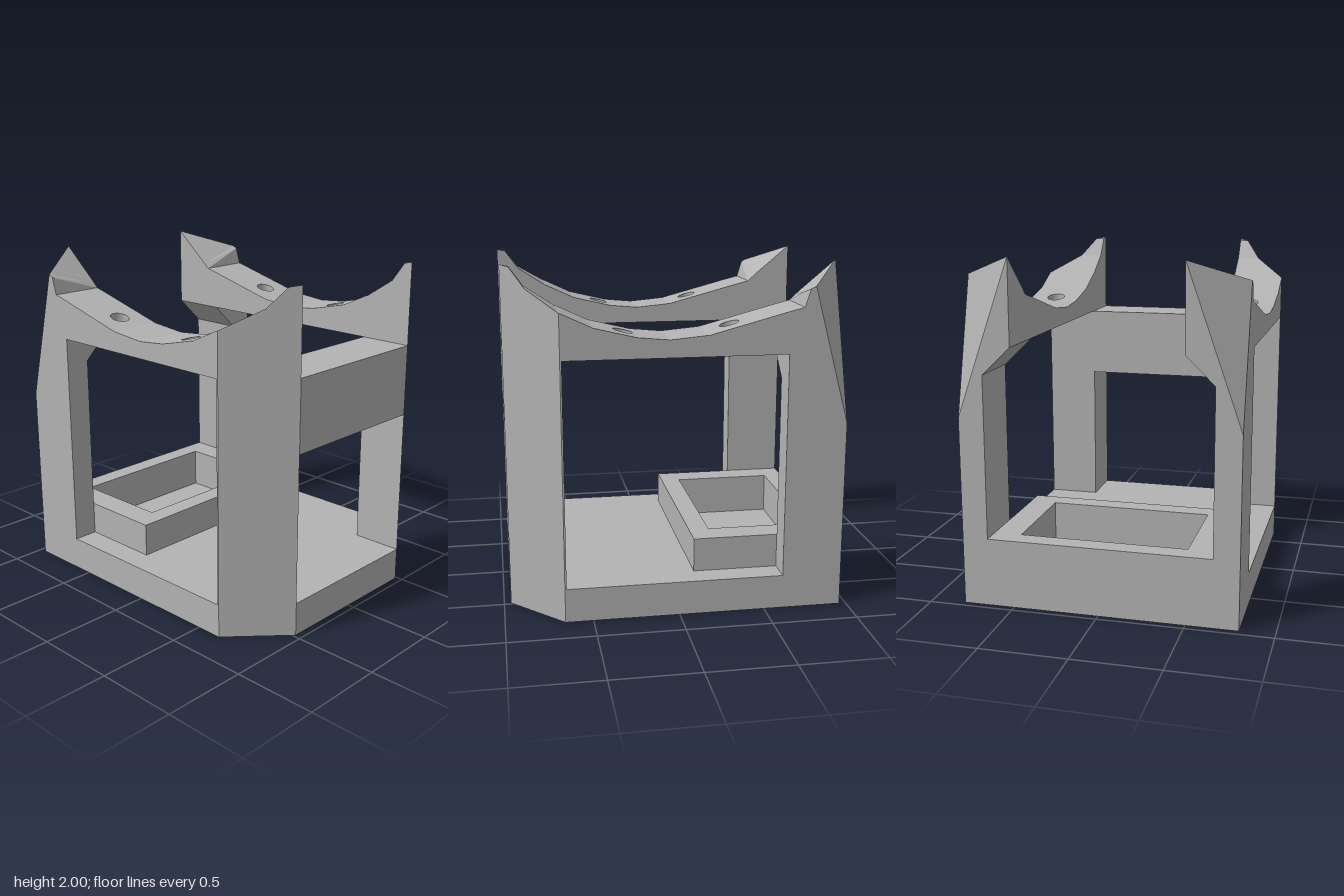
import * as THREE from 'three';

const XI = 0.485, XO = 0.8, RAIL_Y = 1.51;
const grey = new THREE.MeshStandardMaterial({ color: 0xb3b3b3 });
grey.name = 'plain grey';

// Plate lying flat: plan outline and holes given as [x, z], from y0 to y1
function plate(outline, holes, y0, y1) {
  const points = (list) => list.map(([x, z]) => new THREE.Vector2(x, -z));
  const shape = new THREE.Shape(points(outline));
  for (const h of holes) shape.holes.push(new THREE.Path(points(h)));
  const g = new THREE.ExtrudeGeometry(shape, { depth: y1 - y0, bevelEnabled: false });
  return g.rotateX(-Math.PI / 2).translate(0, y0, 0);
}

const rect = (x0, x1, z0, z1) => [[x0, z0], [x0, z1], [x1, z1], [x1, z0]];

function circle(cx, cz, r, n) {
  return Array.from({ length: n }, (_, i) => {
    const a = (i / n) * Math.PI * 2;
    return [cx + r * Math.cos(a), cz + r * Math.sin(a)];
  });
}

// Solid through cross-sections { z, p: [[x, y], ...] }, z rising, counter-clockwise
function loft(sections) {
  const pos = [];
  const put = (s, i) => pos.push(s.p[i][0], s.p[i][1], s.z);
  for (let k = 0; k < sections.length - 1; k++) {
    const a = sections[k], b = sections[k + 1], n = a.p.length;
    for (let i = 0; i < n; i++) {
      const j = (i + 1) % n;
      put(a, i); put(a, j); put(b, j);
      put(a, i); put(b, j); put(b, i);
    }
  }
  const cap = (s, flip) => {
    const contour = s.p.map(([x, y]) => new THREE.Vector2(x, y));
    for (const [a, b, c] of THREE.ShapeUtils.triangulateShape(contour, [])) {
      put(s, a); put(s, flip ? c : b); put(s, flip ? b : c);
    }
  };
  cap(sections[0], true);
  cap(sections[sections.length - 1], false);
  const g = new THREE.BufferGeometry();
  g.setAttribute('position', new THREE.Float32BufferAttribute(pos, 3));
  g.computeVertexNormals();
  return g;
}

// Mirror across x = 0, keeping faces outward
function mirrored(geometry) {
  const src = geometry.index ? geometry.toNonIndexed() : geometry;
  const p = src.attributes.position, pos = [];
  for (let i = 0; i < p.count; i += 3) {
    for (const k of [i, i + 2, i + 1]) pos.push(-p.getX(k), p.getY(k), p.getZ(k));
  }
  const g = new THREE.BufferGeometry();
  g.setAttribute('position', new THREE.Float32BufferAttribute(pos, 3));
  g.computeVertexNormals();
  return g;
}

export function createModel() {
  const model = new THREE.Group();
  model.name = 'cradleStand';
  const add = (name, geometry, parent = model) => {
    const m = new THREE.Mesh(geometry, grey);
    m.name = name;
    parent.add(m);
  };
  const addPair = (name, geometry) => {
    add(name + 'Left', geometry);
    add(name + 'Right', mirrored(geometry));
  };

  // Base slab with chamfered front corners, round recess below, pocket above
  const plan = [[-XO, -0.96], [-XO, 0.66], [-XI, 0.96], [XI, 0.96], [XO, 0.66], [XO, -0.96]];
  const pocket = rect(-0.49, 0.49, -0.84, -0.23);
  const base = new THREE.Group();
  base.name = 'base';
  model.add(base);
  add('baseBottom', plate(plan, [circle(0, 0, 0.355, 48)], 0, 0.05), base);
  add('baseCore', plate(plan, [], 0.05, 0.15), base);
  add('baseTop', plate(plan, [pocket], 0.15, 0.2), base);

  // Open tray at the back of the base
  add('tray', plate(rect(-0.65, 0.65, -0.96, -0.11), [pocket], 0.2, 0.4));

  // Front crossbar
  add('crossbar', new THREE.BoxGeometry(XI * 2, 0.425, 0.32).translate(0, 1.2975, 0.8));

  // Front posts, chamfered and rising to a point
  const frontTop = [[0.65, 1.765], [0.66, 1.768], [0.83, 1.88], [0.91, 1.99], [0.96, 2]];
  addPair('frontPost', loft(frontTop.map(([z, y]) => {
    const x = z <= 0.66 ? XO : XO - ((z - 0.66) / 0.3) * (XO - XI);
    return { z, p: [[XI, 0.2], [x, 0.2], [x, y], [XI, y]] };
  })));

  // Curved rails: one straight run between each pair of [z, top y], with screw holes
  const curve = [[0.65, 1.765], [0.48, 1.685], [0.24, 1.627], [0.06, 1.61], [-0.16, 1.63], [-0.61, 1.75]];
  for (let i = 0; i < curve.length - 1; i++) {
    const [z1, y1] = curve[i], [z0, y0] = curve[i + 1];
    const holes = [0.3, -0.3].filter((z) => z > z0 && z < z1).map((z) => circle(0.64, z, 0.055, 24));
    const g = plate(rect(XI, XO, z0, z1), holes, RAIL_Y, 2);
    const p = g.attributes.position;
    for (let k = 0; k < p.count; k++) {
      if (p.getY(k) > 1.9) p.setY(k, y0 + ((p.getZ(k) - z0) / (z1 - z0)) * (y1 - y0));
    }
    g.computeVertexNormals();
    addPair('rail' + (i + 1), g);
  }

  // Back posts: slim below, flared inward under the rail, outer corner cut to a fin
  // Rows: z, outer edge top, rim x, rim y, inner edge top
  const back = [
    [-0.96, 1.1, XI, 2, 2],
    [-0.75, 1.885, XO, 1.885, 1.824],
    [-0.72, 1.87, XO, 1.87, 1.797],
    [-0.69, 1.77, XO, 1.77, 1.77],
    [-0.61, 1.75, XO, 1.75, 1.75],
  ];
  addPair('backPost', loft(back.map(([z, outer, rimX, rimY, inner]) => ({
    z,
    p: [[0.65, 0.2], [XO, 0.2], [XO, outer], [rimX, rimY], [XI, inner], [XI, RAIL_Y], [0.65, 1.35]],
  }))));

  return model;
}
